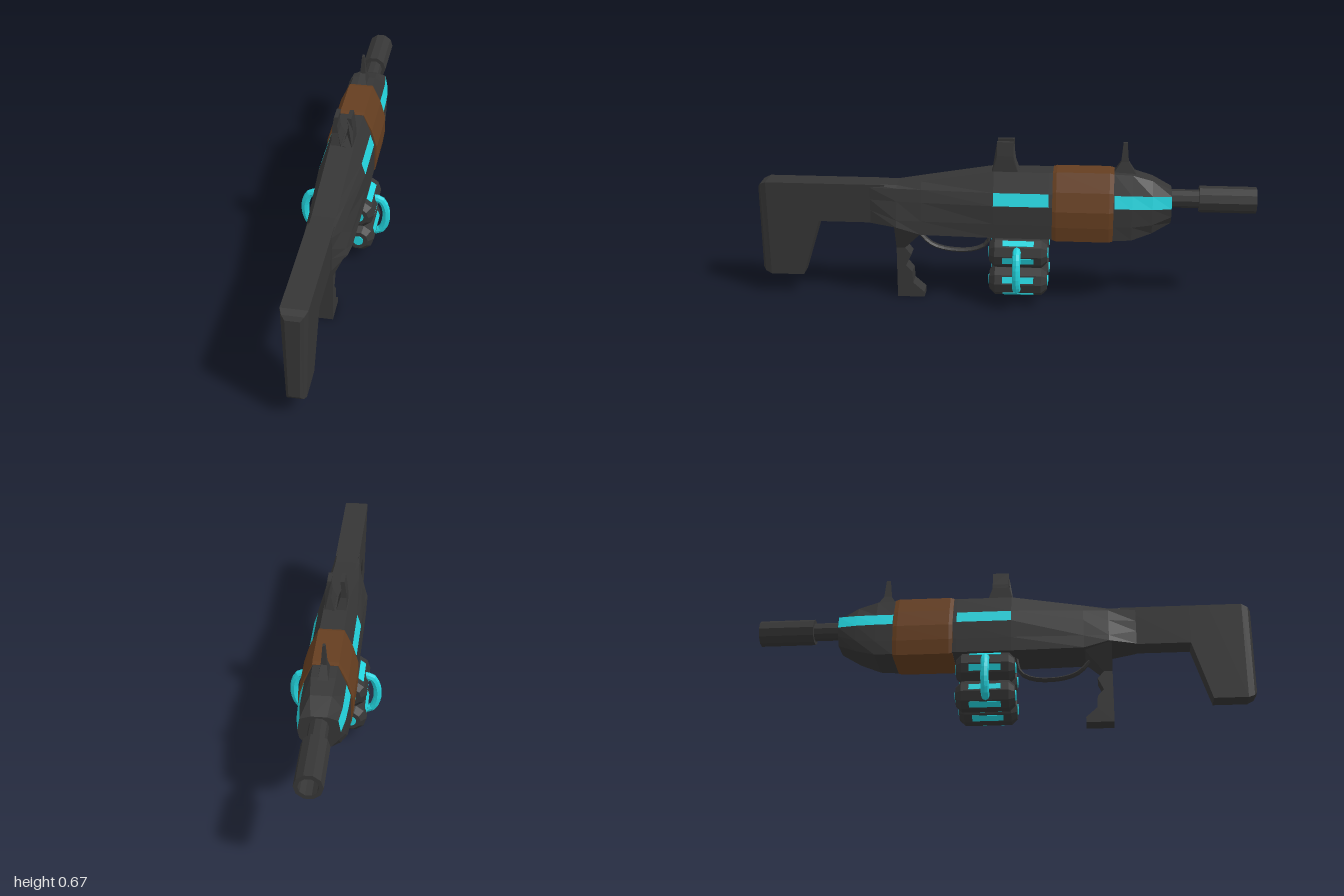
import * as THREE from 'three';

const dark = new THREE.MeshStandardMaterial({ color: 0x363636 });
dark.name = 'charcoal';
const cyan = new THREE.MeshStandardMaterial({ color: 0x22d3dd });
cyan.name = 'cyan';
const brown = new THREE.MeshStandardMaterial({ color: 0x653e20 });
brown.name = 'brown';

// Faceted mesh: every face gets its own normals
function part(parent, name, geometry, material) {
  const g = geometry.index ? geometry.toNonIndexed() : geometry;
  g.computeVertexNormals();
  const mesh = new THREE.Mesh(g, material);
  mesh.name = name;
  parent.add(mesh);
  return mesh;
}

// Moves every vertex by a rule
function reshape(geometry, rule) {
  const p = geometry.attributes.position;
  const v = new THREE.Vector3();
  for (let i = 0; i < p.count; i++) {
    rule(v.fromBufferAttribute(p, i));
    p.setXYZ(i, v.x, v.y, v.z);
  }
  return geometry;
}

// Mirrored loft along -z; each section is { z, half: [[x, y]...], slot }.
// Faces of the second strip after a section with slot go to material 1.
function loft(sections) {
  const rings = sections.map(({ z, half }) => [
    ...half.map(([x, y]) => [x, y, z]),
    ...half.slice().reverse().map(([x, y]) => [-x, y, z]),
  ]);
  const n = rings[0].length;
  const lists = [[], []];
  for (let j = 0; j < rings.length - 1; j++) {
    for (let i = 0; i < n; i++) {
      const k = (i + 1) % n;
      const [a, b, c, d] = [rings[j][i], rings[j][k], rings[j + 1][k], rings[j + 1][i]];
      const slot = sections[j].slot && (i === 1 || i === n - 3);
      lists[slot ? 1 : 0].push(...a, ...b, ...c, ...a, ...c, ...d);
    }
  }
  const last = rings[rings.length - 1];
  for (let i = 1; i < n - 1; i++) {
    lists[0].push(...rings[0][0], ...rings[0][i + 1], ...rings[0][i]);
    lists[0].push(...last[0], ...last[i], ...last[i + 1]);
  }
  const g = new THREE.BufferGeometry();
  g.setAttribute('position', new THREE.Float32BufferAttribute([...lists[0], ...lists[1]], 3));
  g.addGroup(0, lists[0].length / 3, 0);
  g.addGroup(lists[0].length / 3, lists[1].length / 3, 1);
  return g;
}

function extrude(points, depth) {
  const shape = new THREE.Shape(points.map(([x, y]) => new THREE.Vector2(x, y)));
  return new THREE.ExtrudeGeometry(shape, { depth, bevelEnabled: false }).translate(0, 0, -depth / 2);
}

// Ten-sided turned part running along -z; profile is [radius, distance forward]
function turned(profile) {
  const pts = profile.map(([r, d]) => new THREE.Vector2(r, d));
  return new THREE.LatheGeometry(pts, 10).rotateX(-Math.PI / 2).rotateZ(Math.PI / 10);
}

function addStock(g) {
  const width = (y) => 0.038 + 0.012 * (y - 0.085) / 0.4;
  const section = (z, top, bottom, k) => ({ z, half: [[width(top) * k, top], [width(bottom) * k, bottom]] });
  part(g, 'stock', loft([
    section(1, 0.462, 0.112, 0.55), section(0.99, 0.477, 0.097, 0.8), section(0.965, 0.487, 0.086, 1),
    section(0.83, 0.487, 0.086, 1), section(0.755, 0.487, 0.325, 1), section(0.48, 0.487, 0.325, 1),
  ]), dark);
}

function addBody(g) {
  // z, top half width, top y, upper, middle, lower and bottom half widths, lower y, bottom y
  const s = (z, tw, yt, w1, w2, w3, bw, y3, yb, slot = false) =>
    ({ z, slot, half: [[tw, yt], [w1, 0.475], [w2, 0.425], [w3, y3], [bw, yb]] });
  part(g, 'body', loft([
    s(0.54, 0.045, 0.487, 0.05, 0.05, 0.05, 0.05, 0.38, 0.325),
    s(0.43, 0.045, 0.488, 0.055, 0.067, 0.085, 0.093, 0.35, 0.323),
    s(0.33, 0.046, 0.505, 0.062, 0.075, 0.088, 0.094, 0.35, 0.295),
    s(0.04, 0.047, 0.553, 0.079, 0.095, 0.096, 0.095, 0.35, 0.291, true),
    s(-0.18, 0.047, 0.553, 0.079, 0.095, 0.096, 0.095, 0.35, 0.291),
    s(-0.44, 0.047, 0.553, 0.079, 0.095, 0.096, 0.095, 0.35, 0.291, true),
    s(-0.51, 0.046, 0.55, 0.079, 0.094, 0.095, 0.09, 0.35, 0.294, true),
    s(-0.59, 0.04, 0.527, 0.078, 0.09, 0.088, 0.072, 0.36, 0.32, true),
    s(-0.665, 0.03, 0.488, 0.07, 0.079, 0.072, 0.045, 0.39, 0.357),
  ]), [dark, cyan]);

  const ring = (z, k) => ({
    z,
    half: [[0.05, 0.558], [0.084, 0.485], [0.106, 0.41], [0.106, 0.345], [0.097, 0.285]]
      .map(([x, y]) => [x * k, 0.42 + (y - 0.42) * k]),
  });
  part(g, 'foregripBand', loft([ring(-0.195, 0.97), ring(-0.21, 1), ring(-0.42, 1), ring(-0.437, 0.97)]), brown);
}

function addBarrel(g) {
  const barrel = turned([[0.037, 0.6], [0.037, 0.775], [0.053, 0.775], [0.053, 1], [0.037, 1], [0.037, 0.9], [0, 0.9]]);
  part(g, 'barrel', barrel.translate(0, 0.445, 0), dark);
}

function addGrip(g) {
  const grip = extrude([
    [0.44, 0], [0.33, 0], [0.33, 0.022], [0.375, 0.062], [0.378, 0.11], [0.403, 0.138], [0.38, 0.185],
    [0.405, 0.215], [0.335, 0.29], [0.335, 0.33], [0.44, 0.33], [0.44, 0.215],
  ], 0.07).rotateY(-Math.PI / 2);
  reshape(grip, (v) => { v.x *= 1 + 1.45 * Math.max(0, (v.y - 0.215) / 0.115); });
  part(g, 'grip', grip, dark);

  const path = [[0.36, 0.285], [0.3, 0.225], [0.22, 0.202], [0.12, 0.207], [0.072, 0.235], [0.056, 0.3]]
    .map(([z, y]) => new THREE.Vector3(0, y, z));
  const guard = new THREE.TubeGeometry(new THREE.CatmullRomCurve3(path), 14, 0.008, 6);
  part(g, 'triggerGuard', guard.scale(2, 1, 1), dark);
}

function addSights(g) {
  for (const s of [1, -1]) {
    const prong = extrude([
      [0.043, 0.54], [0.043, 0.6], [0.042, 0.617], [0.034, 0.672], [0.018, 0.672],
      [0.022, 0.635], [0.018, 0.6], [0.004, 0.557], [0.004, 0.54],
    ].map(([x, y]) => [x * s, y]), 2);
    reshape(prong, (v) => { v.z = -0.005 + v.z * (v.y < 0.56 ? 0.054 : 0.033); });
    part(g, s > 0 ? 'rearSightLeft' : 'rearSightRight', prong, dark);
  }
  const levels = [[0.54, 0.021, 0.05], [0.595, 0.011, 0.015], [0.672, 0.005, 0.008]];
  const spike = reshape(new THREE.BoxGeometry(2, 2, 2, 1, 2, 1), (v) => {
    const [y, w, d] = levels[Math.round(v.y) + 1];
    v.set(v.x * w, y, -0.478 + v.z * d);
  });
  part(g, 'frontSight', spike, dark);
}

// One canister; facing is +1 for the upper row and -1 for the lower
function addCanister(g, side, y, facing) {
  const can = new THREE.Group();
  can.name = 'canister';
  can.position.set(side * 0.072, y, 0);
  part(can, 'shell', turned([
    [0, -0.055], [0.04, -0.055], [0.062, -0.032], [0.062, 0.155], [0.04, 0.178], [0, 0.178],
  ]), dark);
  for (const z of [0.056, -0.179]) {
    part(can, 'endLight', new THREE.CylinderGeometry(0.021, 0.021, 0.006, 20).rotateX(Math.PI / 2).translate(0, 0, z), cyan);
  }
  // Light strips on every other facet
  for (let k = 0; k < 5; k++) {
    const a = facing * (-18 + 72 * k) * Math.PI / 180;
    const angle = side > 0 ? a : Math.PI - a;
    part(can, 'lightStrip', new THREE.BoxGeometry(0.008, 0.026, 0.125).translate(0.057, 0, -0.062).rotateZ(angle), cyan);
  }
  g.add(can);
}

function addCanisters(g) {
  for (const side of [1, -1]) {
    addCanister(g, side, 0.224, 1);
    addCanister(g, side, 0.105, -1);
    const path = [[0.115, 0.247], [0.149, 0.238], [0.168, 0.198], [0.171, 0.165], [0.168, 0.132], [0.149, 0.092], [0.115, 0.083]]
      .map(([x, y]) => new THREE.Vector3(x * side, y, -0.058));
    part(g, 'canisterHandle', new THREE.TubeGeometry(new THREE.CatmullRomCurve3(path), 12, 0.0165, 8), cyan);
  }
  part(g, 'canisterMount', new THREE.BoxGeometry(0.06, 0.15, 0.12).translate(0, 0.225, -0.06), dark);
}

export function createModel() {
  const g = new THREE.Group();
  g.name = 'rifle';
  const frame = new THREE.Group();
  frame.name = 'frame';
  frame.position.x = 0.002;
  g.add(frame);
  addStock(frame);
  addBody(frame);
  addBarrel(frame);
  addGrip(frame);
  addSights(frame);
  addCanisters(g);
  return g;
}
